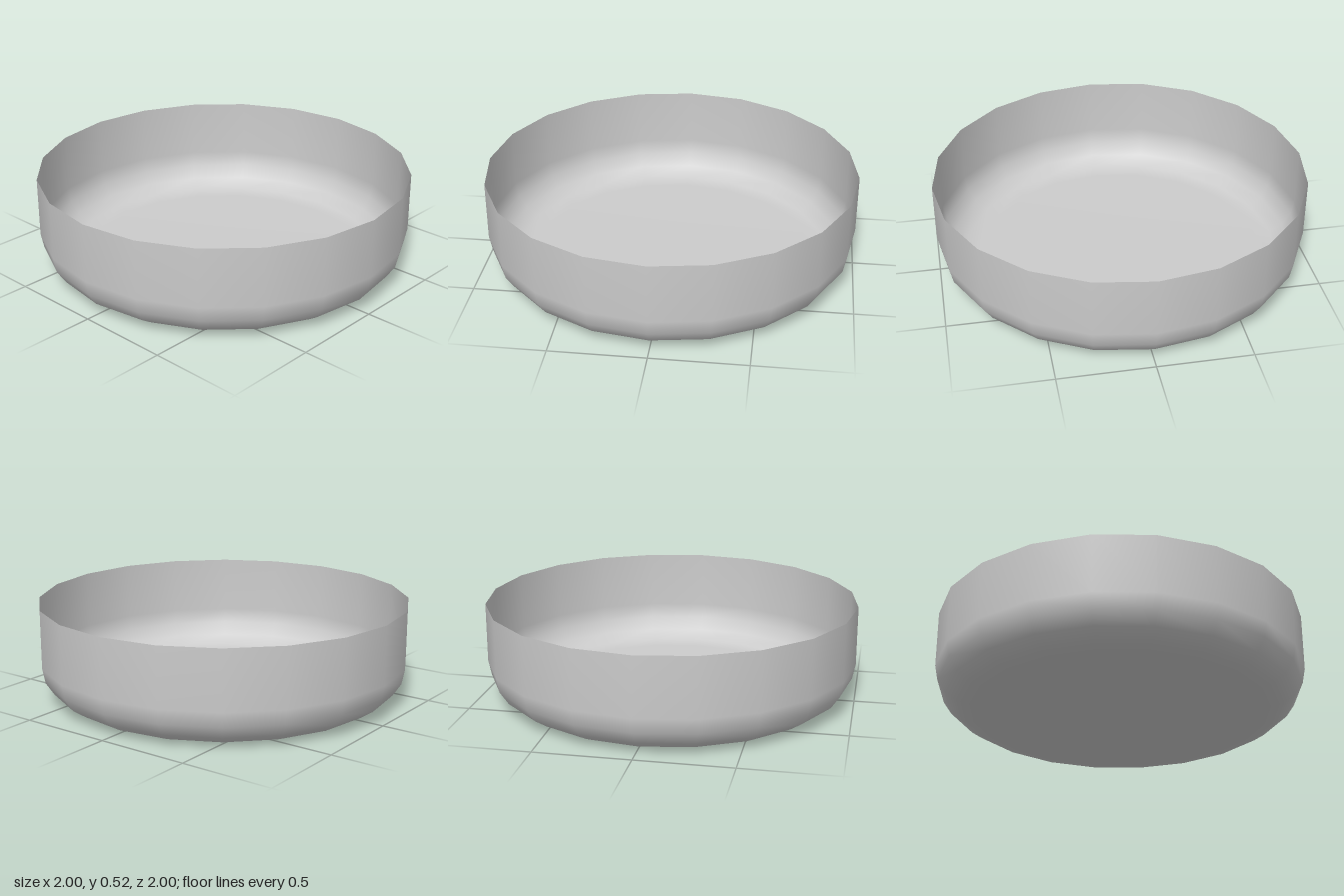
import * as THREE from 'three';

export function createModel() {
  const group = new THREE.Group();
  group.name = 'dish';

  const radius = 1, height = 0.525, fillet = 0.21, steps = 4, sides = 20;

  // Profile: flat floor, rounded lower edge, straight wall
  const profile = [new THREE.Vector2(0, 0)];
  for (let i = 0; i <= steps; i++) {
    const a = (i / steps) * Math.PI / 2;
    profile.push(new THREE.Vector2(
      radius - fillet + fillet * Math.sin(a),
      fillet - fillet * Math.cos(a)
    ));
  }
  profile.push(new THREE.Vector2(radius, height));

  // Thin open bowl, seen from inside and outside
  const bowl = new THREE.Mesh(
    new THREE.LatheGeometry(profile, sides),
    new THREE.MeshStandardMaterial({ color: 0xcccccc, side: THREE.DoubleSide })
  );
  bowl.name = 'bowl';
  group.add(bowl);

  return group;
}
